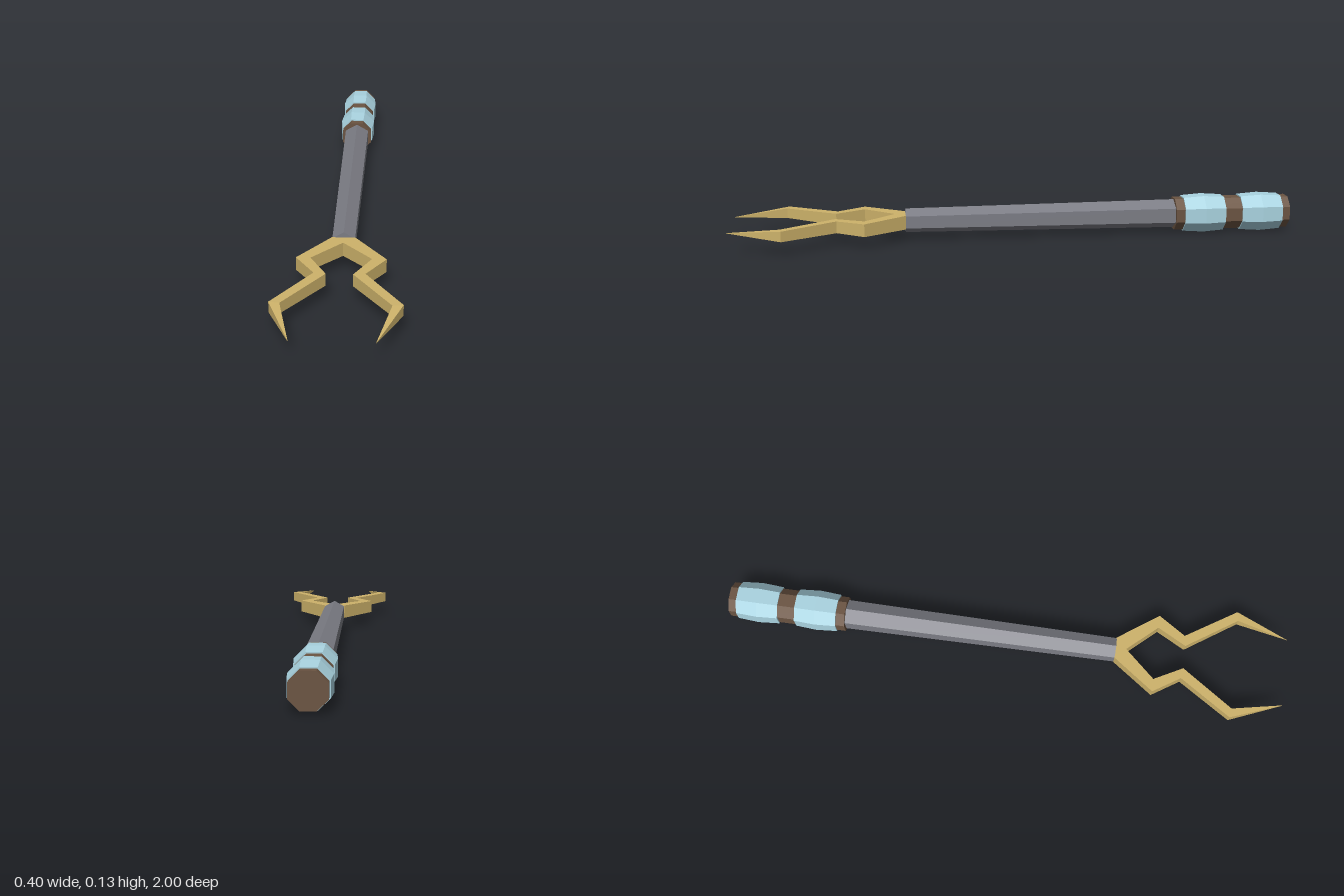
import * as THREE from 'three';

const AXIS_Y = 0.066;
const mat = (color) => new THREE.MeshStandardMaterial({ color, flatShading: true });

export function createModel() {
  const model = new THREE.Group();
  const brown = mat(0x6b5442), blue = mat(0xa9d3e0), grey = mat(0x7b7c84), gold = mat(0xcdb26a);

  const add = (name, geometry, material) => {
    const mesh = new THREE.Mesh(geometry, material);
    mesh.name = name;
    mesh.position.y = AXIS_Y;
    model.add(mesh);
  };

  // Solid of revolution along z from [radius, z] points, z increasing
  const turned = (points, sides, start) => new THREE.LatheGeometry(
    points.map(([r, z]) => new THREE.Vector2(r, z)), sides, start).rotateX(Math.PI / 2);

  // Six-sided tapering shaft with an edge along the top
  add('shaft', turned([[0, -0.59], [0.052, -0.59], [0.043, 0.393], [0, 0.393]], 6, 0), grey);

  // Eight-sided grip core and its two bulging wraps, flat side up
  const oct = (apothem) => apothem / Math.cos(Math.PI / 8);
  const core = oct(0.0565);
  add('gripCore', turned([[0, -1], [core, -1], [core, -0.578], [0, -0.578]], 8, Math.PI / 8), brown);
  [['frontWrap', -0.685], ['backWrap', -0.897]].forEach(([name, z]) => {
    add(name, turned([
      [core - 0.003, z - 0.075], [oct(0.061), z - 0.075], [oct(0.066), z],
      [oct(0.061), z + 0.075], [core - 0.003, z + 0.075],
    ], 8, Math.PI / 8), blue);
  });

  // Zigzag fork: one mirrored outline in x and z
  const outer = [[0.038, 0.392], [0.143, 0.536], [0.08, 0.632], [0.198, 0.812], [0.122, 1]];
  const inner = [[0.165, 0.817], [0.042, 0.637], [0.097, 0.536]];
  const half = [...outer, ...inner];
  const mirrored = half.map(([x, z]) => [-x, z]).reverse();
  const outline = [...half, [0, 0.43], ...mirrored].map(([x, z]) => new THREE.Vector2(x, z));
  const fork = new THREE.ExtrudeGeometry(new THREE.Shape(outline), { depth: 2, bevelEnabled: false });
  fork.translate(0, 0, -1).rotateX(Math.PI / 2);

  // Thin the fork towards its pointed tips
  const p = fork.attributes.position;
  for (let i = 0; i < p.count; i++) {
    const z = p.getZ(i);
    const thickness = z < 0.815
      ? THREE.MathUtils.mapLinear(z, 0.392, 0.815, 0.0245, 0.018)
      : THREE.MathUtils.mapLinear(z, 0.815, 1, 0.018, 0.0005);
    p.setY(i, p.getY(i) * thickness);
  }
  fork.computeVertexNormals();
  add('fork', fork, gold);

  return model;
}
